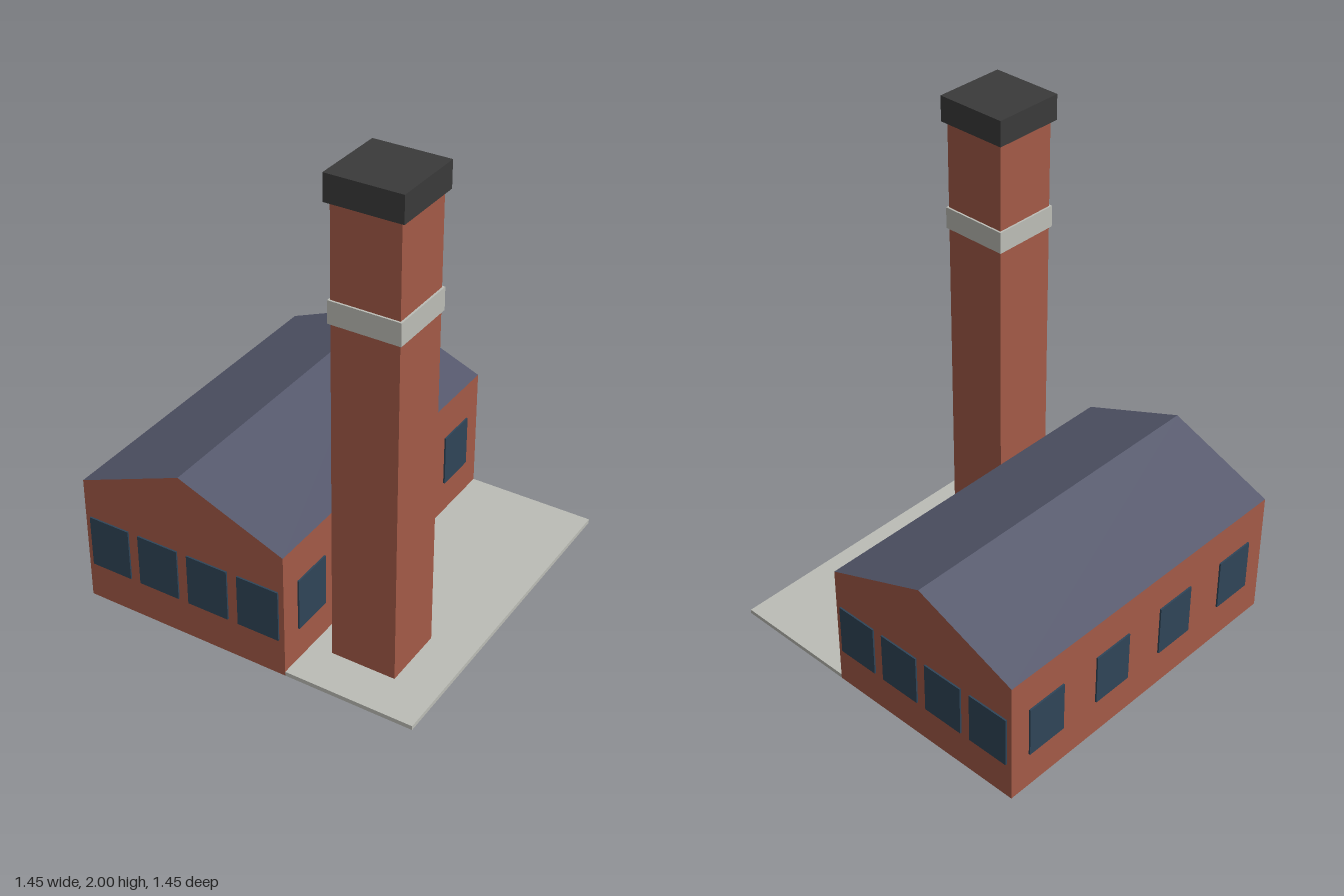
import * as THREE from 'three';

const material = (name, color) => {
  const m = new THREE.MeshStandardMaterial({ color });
  m.name = name;
  return m;
};

export function createModel() {
  const brick = material('brick', 0xa35a47);
  const slate = material('slate', 0x53566a);
  const glass = material('glass', 0x2f4558);
  const concrete = material('concrete', 0xbcbdb6);
  const soot = material('soot', 0x3a3a3a);

  const model = new THREE.Group();
  model.name = 'factory';

  const box = (name, mat, [w, h, d], [x, bottom, z], parent = model) => {
    const mesh = new THREE.Mesh(new THREE.BoxGeometry(w, h, d), mat);
    mesh.name = name;
    mesh.position.set(x, bottom + h / 2, z);
    parent.add(mesh);
    return mesh;
  };

  // Hall and the paved yard beside it
  const hallX = -0.27, hallW = 0.9, depth = 1.44, eaves = 0.54;
  box('hallWalls', brick, [hallW, eaves, depth], [hallX, 0, 0]);
  box('yard', concrete, [0.54, 0.018, depth], [0.45, 0, 0]);

  // Pitched roof: brick gable ends, slate slopes
  const gable = new THREE.Shape([
    new THREE.Vector2(-hallW / 2, 0),
    new THREE.Vector2(hallW / 2, 0),
    new THREE.Vector2(0, 0.18),
  ]);
  const roof = new THREE.Mesh(
    new THREE.ExtrudeGeometry(gable, { depth, bevelEnabled: false }),
    [brick, slate],
  );
  roof.name = 'roof';
  roof.position.set(hallX, eaves, -depth / 2);
  model.add(roof);

  // Four windows on each wall, as thin panes
  const windows = new THREE.Group();
  windows.name = 'windows';
  model.add(windows);
  const pane = 0.18, sill = 0.16, paneH = 0.22, thin = 0.007;
  for (const side of [-1, 1]) {
    for (let i = 0; i < 4; i++) {
      const step = i - 1.5;
      box('endWindow', glass, [pane, paneH, thin],
        [hallX + step * 0.225, sill, side * (depth + thin) / 2], windows);
      box('sideWindow', glass, [thin, paneH, pane],
        [hallX + side * (hallW + thin) / 2, sill, step * 0.36], windows);
    }
  }

  // Square chimney with a band and a cap
  const chimney = new THREE.Group();
  chimney.name = 'chimney';
  chimney.position.set(0.405, 0, 0.405);
  model.add(chimney);
  box('chimneyStack', brick, [0.27, 1.9, 0.27], [0, 0.002, 0], chimney);
  box('chimneyBand', concrete, [0.286, 0.09, 0.286], [0, 1.443, 0], chimney);
  box('chimneyCap', soot, [0.303, 0.105, 0.303], [0, 1.895, 0], chimney);

  return model;
}
